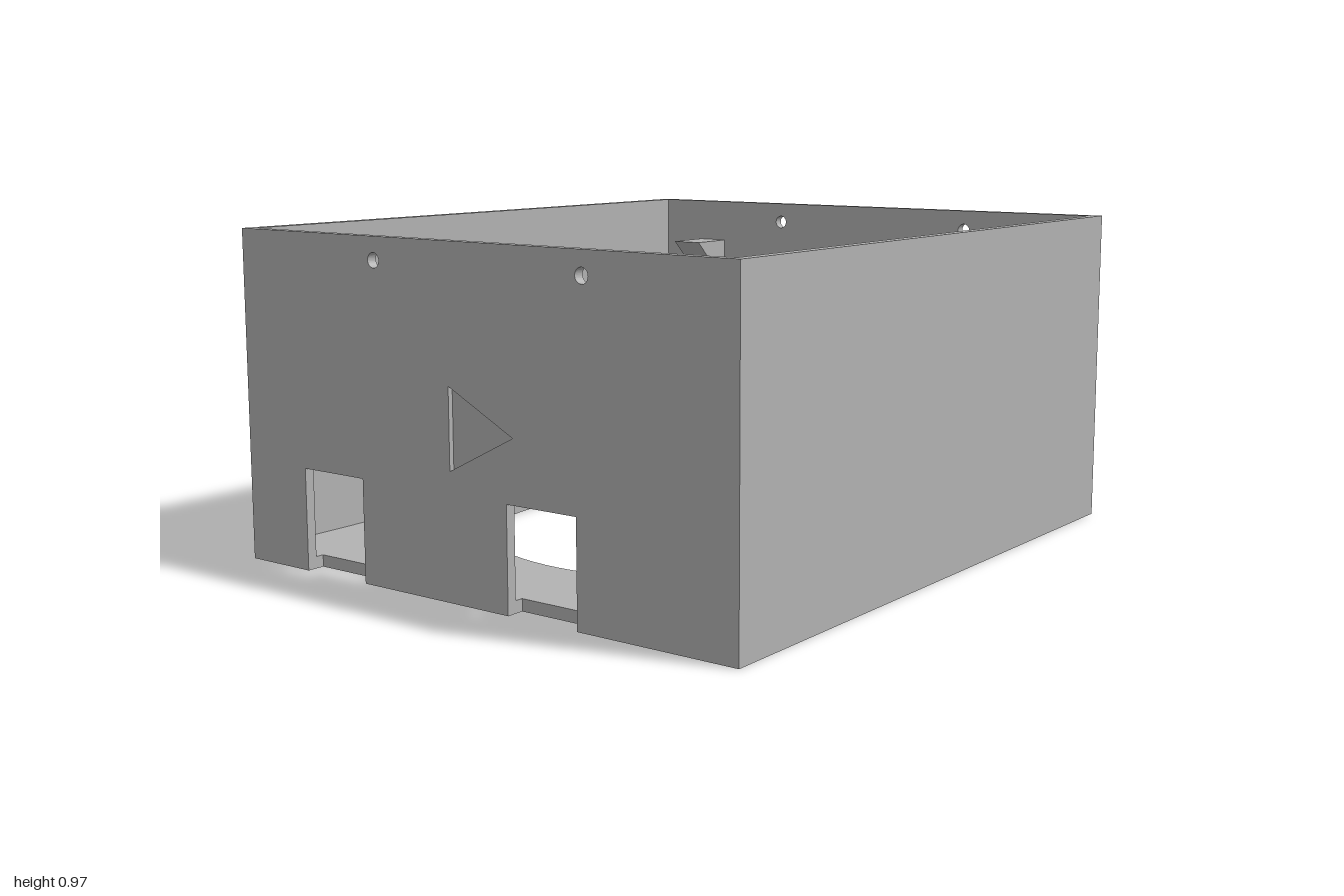
import * as THREE from 'three';

const W = 1, D = 0.87, H = 0.97, T = 0.03;   // half width, half depth, height, wall
const FLOOR = 0.035, NOTCH = 0.945;
const openings = [[-0.635, -0.4], [0.135, 0.37]];   // z ranges of the wall openings

const polygon = (pts) => new THREE.Shape(pts.map(([x, y]) => new THREE.Vector2(x, y)));

const circle = (x, y, r) => {
  const p = new THREE.Path();
  p.absarc(x, y, r, 0, Math.PI * 2, true);
  return p;
};

const extrude = (shape, depth, curveSegments = 16) =>
  new THREE.ExtrudeGeometry(shape, { depth, bevelEnabled: false, curveSegments });

export function createModel() {
  const model = new THREE.Group();
  model.name = 'enclosure';
  const grey = new THREE.MeshStandardMaterial({ color: 0xb2b2b2 });
  grey.name = 'grey plastic';

  const add = (name, geometry, x = 0, y = 0, z = 0) => {
    const mesh = new THREE.Mesh(geometry, grey);
    mesh.name = name;
    mesh.position.set(x, y, z);
    model.add(mesh);
  };

  // Plain front and back walls
  for (const s of [1, -1]) {
    add(s > 0 ? 'frontWall' : 'backWall', new THREE.BoxGeometry(2 * W, H, T), 0, H / 2, s * (D - T / 2));
  }

  // Floor with a large round opening, screw holes and side notches
  const fx = W - T, fz = D - T;
  const edge = [];
  for (const [a, b] of openings) edge.push([fx, a], [NOTCH, a], [NOTCH, b], [fx, b]);
  const mirrored = edge.map(([x, z]) => [-x, z]).reverse();
  const floor = polygon([[-fx, -fz], [fx, -fz], ...edge, [fx, fz], [-fx, fz], ...mirrored]);
  floor.holes.push(circle(0, 0, 0.65));
  for (const x of [-0.588, 0.588]) for (const z of [-0.588, 0.588]) floor.holes.push(circle(x, z, 0.025));
  add('floor', extrude(floor, FLOOR, 48).rotateX(Math.PI / 2), 0, FLOOR, 0);

  // Side wall outline in z and y, cut by the openings, small holes and a triangle
  const triangle = [[-0.065, 0.36], [-0.065, 0.588], [0.16, 0.474]];
  const bottom = openings.flatMap(([a, b]) => [[a, 0], [a, 0.298], [b, 0.298], [b, 0]]);
  const wall = polygon([[-fz, 0], ...bottom, [fz, 0], [fz, H], [-fz, H]]);
  wall.holes.push(circle(0.395, 0.905, 0.021), circle(-0.335, 0.905, 0.021), polygon(triangle));

  for (const s of [1, -1]) {
    const side = s > 0 ? 'left' : 'right';
    add(side + 'Wall', extrude(wall, T).rotateY(-Math.PI / 2), s > 0 ? W : -fx);

    // Bottom of the recessed triangle mark
    add(side + 'TriangleRecess', extrude(polygon(triangle), T / 2).rotateY(-Math.PI / 2), s > 0 ? W - T / 2 : -fx);

    // Wedge brackets on the inner face
    const wedge = polygon([[s * fx, 0.675], [s * fx, 0.83], [s * 0.81, 0.83]]);
    for (const [z0, z1] of [[-0.69, -0.583], [0.075, 0.188]]) {
      add(side + 'Bracket', extrude(wedge, z1 - z0), 0, 0, z0);
    }
  }
  return model;
}
